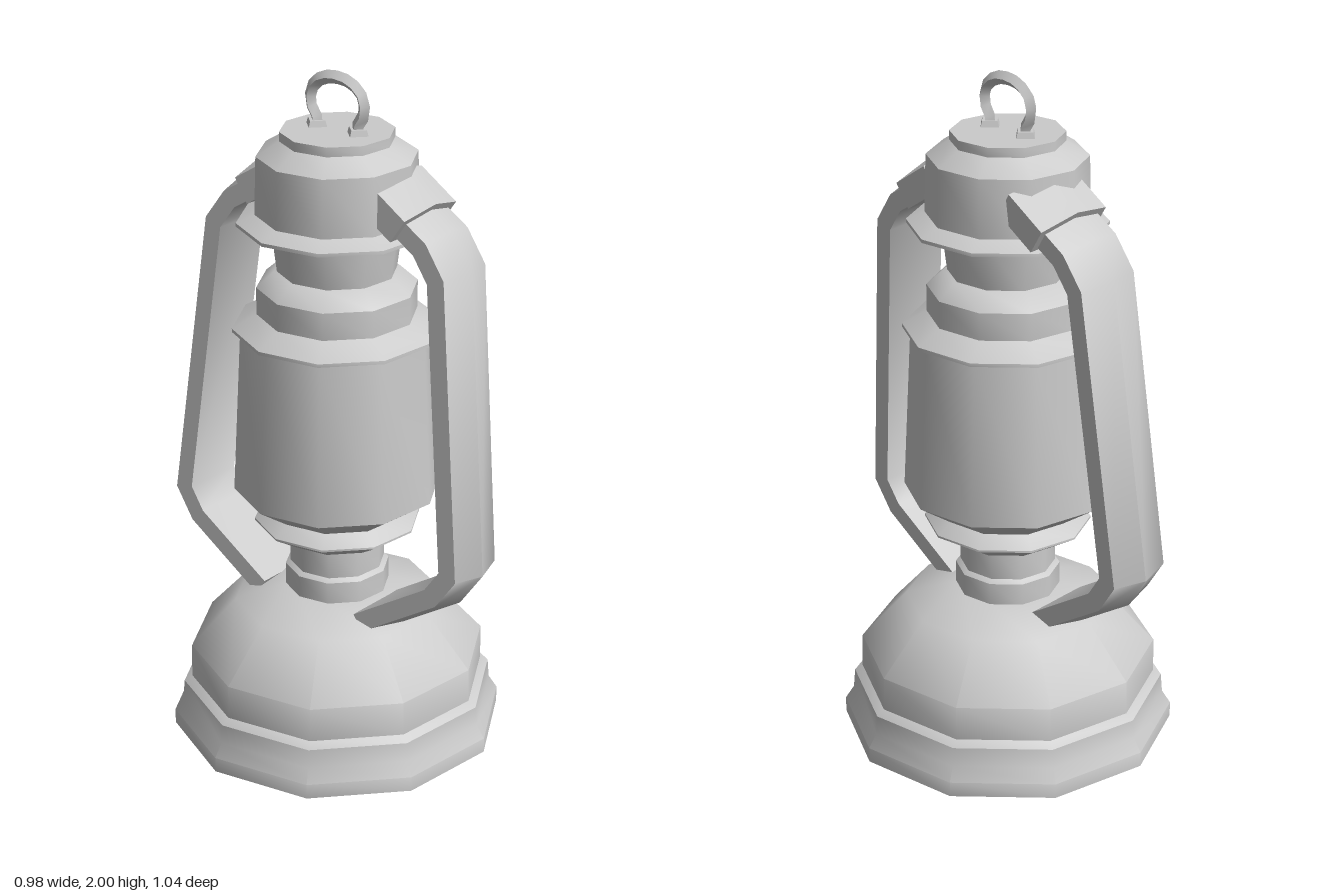
import * as THREE from 'three';
import { toCreasedNormals } from 'three/addons/utils/BufferGeometryUtils.js';

const material = new THREE.MeshStandardMaterial({ color: 0xcccccc });
const SIDES = 10;
const CREASE = 0.8;
const TURN = 0.165; // handle and ring are turned a little about the vertical
const LEAN = -0.05; // the handle hangs slightly to one side
const PIVOT = 1.1;

function part(name, geometry) {
  const mesh = new THREE.Mesh(toCreasedNormals(geometry, CREASE), material);
  mesh.name = name;
  return mesh;
}

// Ten-sided turned part from [radius, height] pairs, bottom to top
function turned(name, profile) {
  const points = profile.map(([r, y]) => new THREE.Vector2(r, y));
  return part(name, new THREE.LatheGeometry(points, SIDES, Math.PI / 2));
}

// Sweeps a crowned band along a [z, y] path, with mitred bends and closed ends
function band(name, path, halfWidth, inner, edge, ridge) {
  const section = [[halfWidth, inner], [halfWidth, edge], [0, ridge], [-halfWidth, edge], [-halfWidth, inner]];
  const n = section.length;
  const pts = path.map(([z, y]) => new THREE.Vector2(z, y));
  const normals = pts.slice(1).map((p, i) => {
    const t = p.clone().sub(pts[i]).normalize();
    return new THREE.Vector2(-t.y, t.x);
  });
  const positions = [];
  const index = [];
  pts.forEach((p, i) => {
    const a = normals[Math.max(i - 1, 0)];
    const b = normals[Math.min(i, normals.length - 1)];
    const m = a.clone().add(b).normalize();
    m.divideScalar(m.dot(a));
    for (const [x, o] of section) positions.push(x, p.y + m.y * o, p.x + m.x * o);
    if (i === 0) return;
    for (let k = 0; k < n; k++) {
      const q = (i - 1) * n + k;
      const r = (i - 1) * n + (k + 1) % n;
      index.push(q, r, r + n, q, r + n, q + n);
    }
  });
  const last = (pts.length - 1) * n;
  for (let k = 1; k < n - 1; k++) {
    index.push(0, k + 1, k, last, last + k, last + k + 1);
  }
  const g = new THREE.BufferGeometry();
  g.setAttribute('position', new THREE.Float32BufferAttribute(positions, 3));
  g.setIndex(index);
  return part(name, g);
}

export function createModel() {
  const lantern = new THREE.Group();
  lantern.name = 'lantern';

  // Turned body, from the foot to the cap
  lantern.add(
    turned('fuelTank', [
      [0, 0], [0.488, 0], [0.488, 0.045], [0.463, 0.085], [0.458, 0.142], [0.435, 0.158],
      [0.433, 0.26], [0.3, 0.408], [0.15, 0.45], [0, 0.45],
    ]),
    turned('neck', [[0.152, 0.44], [0.152, 0.515], [0.138, 0.525], [0.138, 0.63]]),
    turned('burner', [
      [0, 0.615], [0.165, 0.615], [0.241, 0.662], [0.241, 0.668], [0.195, 0.7], [0.205, 0.705], [0, 0.705],
    ]),
    turned('globe', [[0, 0.7], [0.2, 0.7], [0.299, 0.768], [0.275, 1.25], [0, 1.25]]),
    turned('globeCollar', [
      [0, 1.25], [0.298, 1.255], [0.298, 1.265], [0.228, 1.305], [0.228, 1.385], [0.178, 1.43], [0, 1.43],
    ]),
    turned('chimney', [[0.168, 1.42], [0.187, 1.575]]),
    turned('cap', [
      [0, 1.565], [0.282, 1.568], [0.282, 1.578], [0.23, 1.6], [0.225, 1.767], [0.16, 1.808],
      [0.16, 1.835], [0, 1.835],
    ]),
  );

  // Side arms of the handle with their upper brackets, front and back
  const handle = new THREE.Group();
  handle.name = 'handle';
  handle.position.y = PIVOT;
  handle.rotation.z = LEAN;
  for (const [side, angle] of [['front', 0], ['back', Math.PI]]) {
    const arm = new THREE.Group();
    arm.name = side + 'Arm';
    arm.rotation.y = TURN + angle;
    const strap = band(side + 'Strap', [
      [0.2, 1.675], [0.335, 1.59], [0.395, 1.505], [0.487, 0.65], [0.43, 0.565], [0.185, 0.405],
    ], 0.1, -0.04, 0.015, 0.04);
    const bracket = band(side + 'Bracket', [[0.15, 1.705], [0.27, 1.627]], 0.122, -0.045, 0.035, 0.065);
    strap.position.y = bracket.position.y = -PIVOT;
    arm.add(strap, bracket);
    handle.add(arm);
  }
  lantern.add(handle);

  // Hanging ring with its two feet
  const ring = new THREE.Group();
  ring.name = 'hangingRing';
  ring.rotation.y = TURN;
  const half = [[0.068, 1.83], [0.07, 1.86], [0.09, 1.895], [0.085, 1.94], [0.05, 1.972]];
  const loop = [
    ...half.map(([z, y]) => new THREE.Vector3(0, y, z)),
    new THREE.Vector3(0, 1.982, 0),
    ...half.map(([z, y]) => new THREE.Vector3(0, y, -z)).reverse(),
  ];
  ring.add(part('loop', new THREE.TubeGeometry(new THREE.CatmullRomCurve3(loop), 14, 0.019, 4)));
  for (const s of [1, -1]) {
    const foot = part(s > 0 ? 'frontFoot' : 'backFoot', new THREE.CylinderGeometry(0.03, 0.037, 0.02, 4));
    foot.position.set(0, 1.842, s * 0.07);
    ring.add(foot);
  }
  lantern.add(ring);

  return lantern;
}
